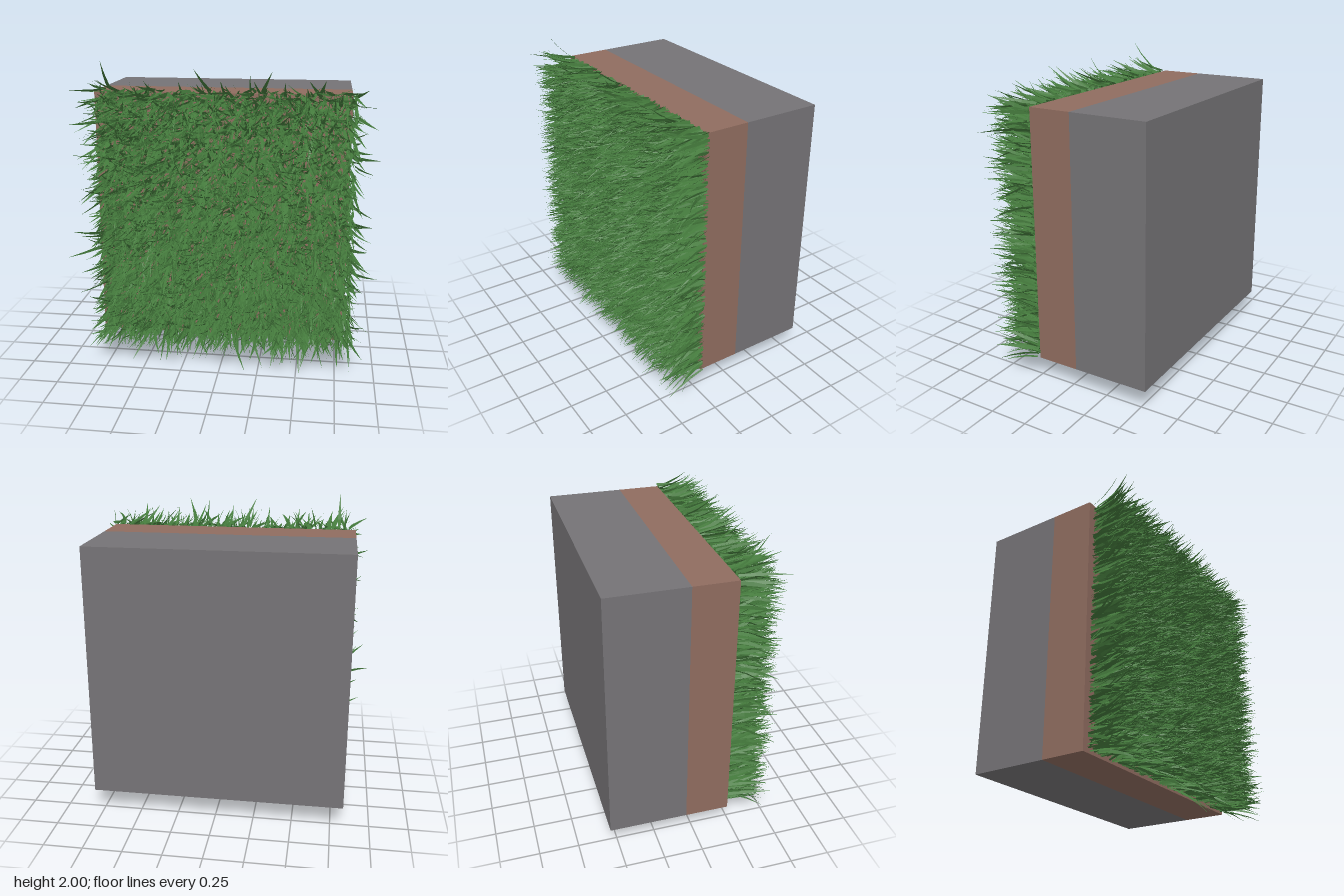
import * as THREE from 'three';

const stoneMaterial = new THREE.MeshStandardMaterial({ name: 'stone grey', color: 0x757376 });
const soilMaterial = new THREE.MeshStandardMaterial({ name: 'soil brown', color: 0x8f6c5f });
const grassMaterial = new THREE.MeshStandardMaterial({ name: 'grass green', color: 0x447a3c, side: THREE.DoubleSide });

const FACE_Z = 0.225; // plane the grass grows from

function seeded(seed) {
  return () => {
    seed = (seed * 1664525 + 1013904223) >>> 0;
    return seed / 4294967296;
  };
}

// One slab of the block, between two depths
function slab(name, z0, z1, material) {
  const mesh = new THREE.Mesh(new THREE.BoxGeometry(1.63, 1.635, z1 - z0), material);
  mesh.name = name;
  mesh.position.set(-0.015, 0.9725, (z0 + z1) / 2);
  return mesh;
}

// A tapering, bent blade: two quads and a tip, growing along +z and leaning in x/y
function addBlade(out, x, y, leanX, leanY, height, width, facing) {
  const wx = Math.cos(facing) * width / 2;
  const wy = Math.sin(facing) * width / 2;
  const levels = [[0, 0.75], [0.35, 1], [0.7, 0.6], [1, 0]];
  const rows = levels.map(([t, w]) => {
    const bend = 0.45 * t + 0.55 * t * t;
    const cx = x + leanX * bend;
    const cy = y + leanY * bend;
    const cz = FACE_Z + height * t;
    return [[cx - wx * w, cy - wy * w, cz], [cx + wx * w, cy + wy * w, cz]];
  });
  for (let i = 0; i < 3; i++) {
    const [a, b] = rows[i];
    const [c, d] = rows[i + 1];
    out.push(...a, ...b, ...d);
    if (i < 2) out.push(...a, ...d, ...c);
  }
}

function grassGeometry() {
  const rand = seeded(7);
  const positions = [];
  const columns = 90, rowCount = 90;
  for (let i = 0; i < columns; i++) {
    for (let j = 0; j < rowCount; j++) {
      // Jittered roots over the whole face
      const x = -0.79 + 1.62 * (i + rand()) / columns;
      const y = 0.17 + 1.635 * (j + rand()) / rowCount;
      const angle = rand() * Math.PI * 2;
      const length = 0.25 + 0.06 * rand();
      const lean = 0.02 + 0.12 * rand() + (rand() < 0.06 ? 0.05 : 0);
      const height = Math.sqrt(length * length - lean * lean);
      const facing = rand() * Math.PI * 2;
      addBlade(positions, x, y, Math.cos(angle) * lean, Math.sin(angle) * lean,
        height, 0.013 + 0.013 * rand(), facing);
    }
  }
  // A few long stray blades around the rim: root x, root y, lean x, lean y, height
  const strays = [
    [-0.72, 1.8, 0, 0.2, 0.21], [-0.08, 1.8, -0.07, 0.16, 0.22], [0.24, 1.79, 0.08, 0.16, 0.22],
    [0.06, 0.17, 0.11, -0.165, 0.24], [-0.5, 0.18, -0.08, -0.14, 0.23], [0.5, 0.17, 0.02, -0.15, 0.24],
    [-0.78, 0.77, -0.205, -0.03, 0.23], [-0.78, 0.85, -0.16, 0.07, 0.24], [-0.78, 1.6, -0.15, 0.01, 0.23],
    [0.82, 0.65, 0.165, 0.04, 0.23], [0.82, 0.98, 0.13, 0.04, 0.23], [0.82, 0.2, 0.1, -0.06, 0.24],
  ];
  for (const [x, y, lx, ly, h] of strays) {
    addBlade(positions, x, y, lx, ly, h, 0.022, Math.atan2(ly, lx) + Math.PI / 2);
  }
  const geometry = new THREE.BufferGeometry();
  geometry.setAttribute('position', new THREE.Float32BufferAttribute(positions, 3));
  geometry.computeVertexNormals();
  return geometry;
}

export function createModel() {
  const model = new THREE.Group();
  model.name = 'grassBlock';
  model.add(slab('stoneLayer', -0.555, -0.055, stoneMaterial));
  model.add(slab('soilLayer', -0.055, FACE_Z, soilMaterial));
  const grass = new THREE.Mesh(grassGeometry(), grassMaterial);
  grass.name = 'grassBlades';
  model.add(grass);
  return model;
}
